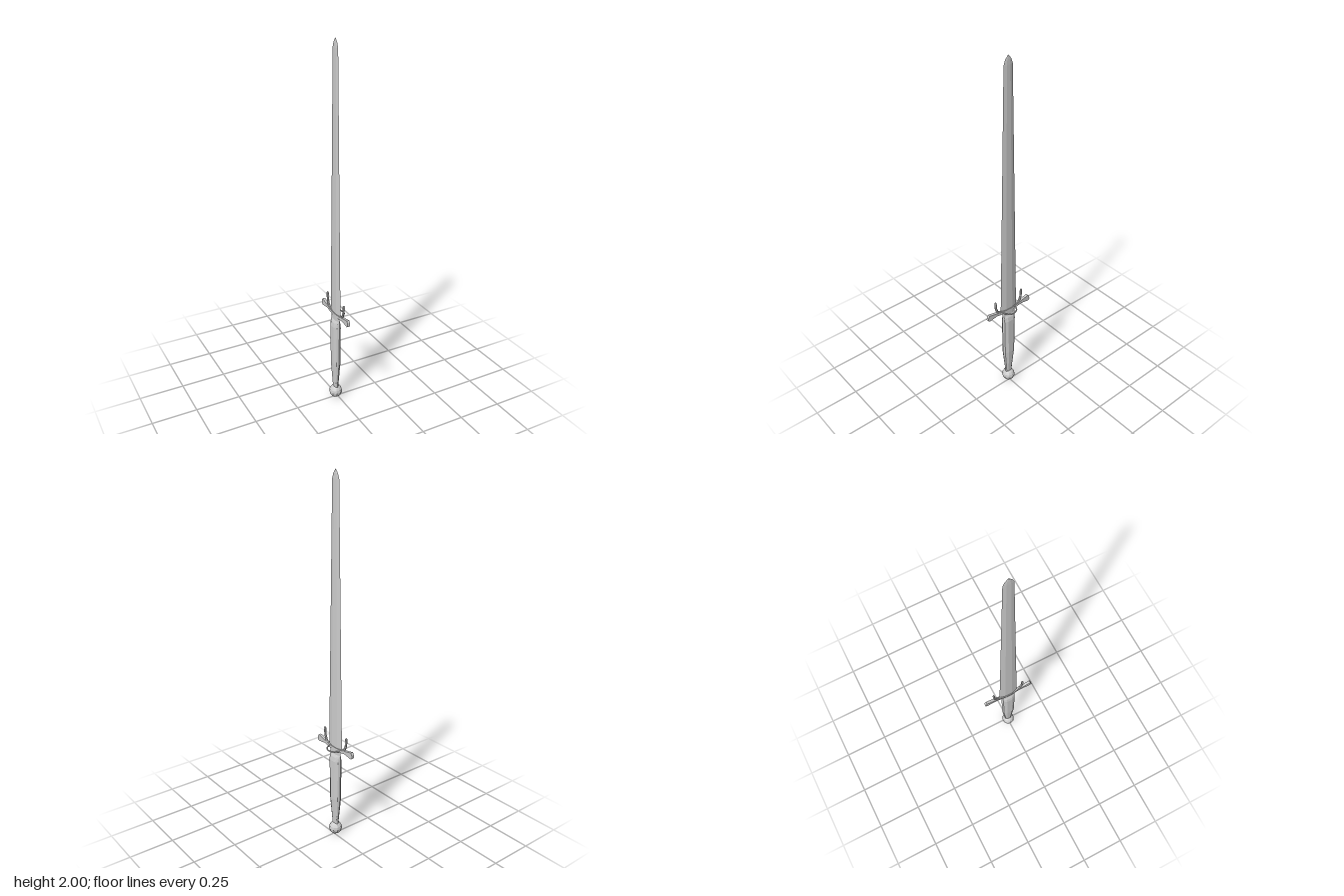
import * as THREE from 'three';

const material = new THREE.MeshStandardMaterial({ color: 0xcccccc, flatShading: true, side: THREE.DoubleSide });

// Skin a cross-section of [x, z] points through rings of [y, half depth x, half width z]
function loft(section, rings) {
  const n = section.length, pos = [], idx = [];
  for (const [y, hx, hz] of rings) for (const [x, z] of section) pos.push(x * hx, y, z * hz);
  for (let r = 0; r < rings.length - 1; r++) {
    for (let i = 0; i < n; i++) {
      const a = r * n + i, b = r * n + (i + 1) % n;
      idx.push(a, a + n, b, b, a + n, b + n);
    }
  }
  const top = (rings.length - 1) * n;
  for (let i = 1; i < n - 1; i++) {
    idx.push(0, i, i + 1);
    idx.push(top, top + i + 1, top + i);
  }
  const geo = new THREE.BufferGeometry();
  geo.setAttribute('position', new THREE.Float32BufferAttribute(pos, 3));
  geo.setIndex(idx);
  geo.computeVertexNormals();
  return geo;
}

export function createModel() {
  const sword = new THREE.Group();
  sword.name = 'sword';
  const add = (name, geo) => {
    const mesh = new THREE.Mesh(geo, material);
    mesh.name = name;
    sword.add(mesh);
    return mesh;
  };

  // Blade: flat-faced with bevelled edges, tapering to a short point
  const bladeSection = [[1, -0.4], [1, 0.4], [0, 1], [-1, 0.4], [-1, -0.4], [0, -1]];
  add('blade', loft(bladeSection, [
    [0.53, 0.008, 0.046], [0.555, 0.008, 0.055], [1.3, 0.006, 0.04],
    [1.955, 0.004, 0.027], [1.98, 0.003, 0.018], [2, 0.001, 0.002],
  ]));

  // Grip: faceted, swelling upwards and closing onto a flat collar
  const gripSection = [[1, -0.4], [1, 0.4], [0.55, 0.85], [0, 1], [-0.55, 0.85],
    [-1, 0.4], [-1, -0.4], [-0.55, -0.85], [0, -1], [0.55, -0.85]];
  add('grip', loft(gripSection, [
    [0.06, 0.012, 0.02], [0.1, 0.014, 0.024], [0.23, 0.022, 0.039],
    [0.465, 0.022, 0.043], [0.49, 0.017, 0.043], [0.505, 0.009, 0.043], [0.54, 0.009, 0.043],
  ]));

  // Pommel
  add('pommel', new THREE.SphereGeometry(0.037, 10, 8)).position.y = 0.037;

  // Swollen centre of the guard
  const block = new THREE.CylinderGeometry(1, 1, 0.016, 16);
  block.scale(0.012, 1, 0.062);
  add('guardCentre', block).position.y = 0.538;

  for (const s of [1, -1]) {
    // Guard arm, flaring and rising to its end
    const outline = new THREE.Shape([
      [0, 0.53], [0.055, 0.53], [0.085, 0.536], [0.138, 0.528], [0.148, 0.536],
      [0.146, 0.555], [0.138, 0.566], [0.085, 0.554], [0.055, 0.546], [0, 0.546],
    ].map(([z, y]) => new THREE.Vector2(s * z, y)));
    const arm = new THREE.ExtrudeGeometry(outline, { depth: 0.015, bevelEnabled: false });
    arm.translate(0, 0, -0.0075);
    arm.rotateY(-Math.PI / 2);
    add(s > 0 ? 'guardArmFront' : 'guardArmBack', arm);

    // Upright curved prong
    const path = new THREE.CatmullRomCurve3([
      [0.055, 0.54], [0.075, 0.555], [0.088, 0.585], [0.091, 0.625],
    ].map(([z, y]) => new THREE.Vector3(0, y, s * z)));
    const name = s > 0 ? 'prongFront' : 'prongBack';
    add(name, new THREE.TubeGeometry(path, 8, 0.0065, 6));
    const cap = add(name + 'Tip', new THREE.SphereGeometry(0.0065, 6, 4));
    cap.position.set(0, 0.625, s * 0.091);
  }

  // Half ring on one side of the guard
  const ring = new THREE.TorusGeometry(0.043, 0.004, 6, 8, Math.PI);
  ring.rotateZ(-Math.PI / 2);
  ring.rotateX(Math.PI / 2);
  add('sideRing', ring).position.set(0.004, 0.536, 0);

  // The ring sits to one side, so the blade axis is slightly off centre
  for (const part of sword.children) part.position.x -= 0.01;
  return sword;
}
